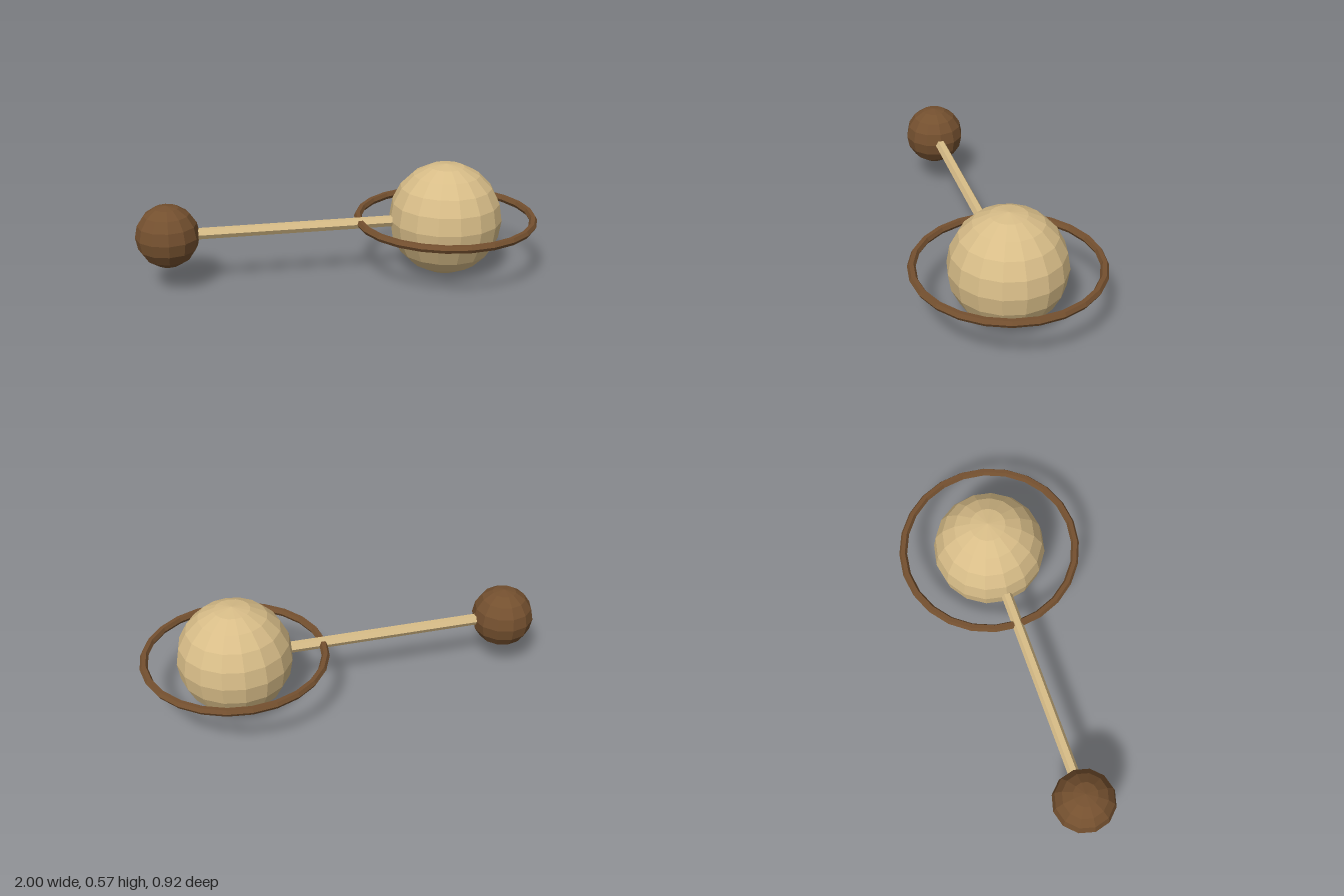
import * as THREE from 'three';

export function createModel() {
  const group = new THREE.Group();
  const tan = new THREE.MeshStandardMaterial({ color: 0xd8bd88, flatShading: true });
  tan.name = 'tan';
  const brown = new THREE.MeshStandardMaterial({ color: 0x74502f, flatShading: true });
  brown.name = 'brown';

  const axisY = 0.283; // shared height of all parts
  const planetX = 0.54;

  const add = (name, geometry, material, x) => {
    const mesh = new THREE.Mesh(geometry, material);
    mesh.name = name;
    mesh.position.set(x, axisY, 0);
    group.add(mesh);
    return mesh;
  };

  // Large ball with its thin ring
  add('largeBall', new THREE.SphereGeometry(0.283, 16, 10), tan, planetX);
  add('ring', new THREE.TorusGeometry(0.44, 0.02, 6, 24).rotateX(Math.PI / 2), brown, planetX);

  // Small ball at the other end
  add('smallBall', new THREE.SphereGeometry(0.155, 12, 8), brown, -0.845);

  // Hexagonal rod, ends sunk into both balls
  const from = -0.8, to = 0.34;
  add('rod', new THREE.CylinderGeometry(0.028, 0.028, to - from, 6).rotateZ(Math.PI / 2), tan, (from + to) / 2);

  return group;
}
